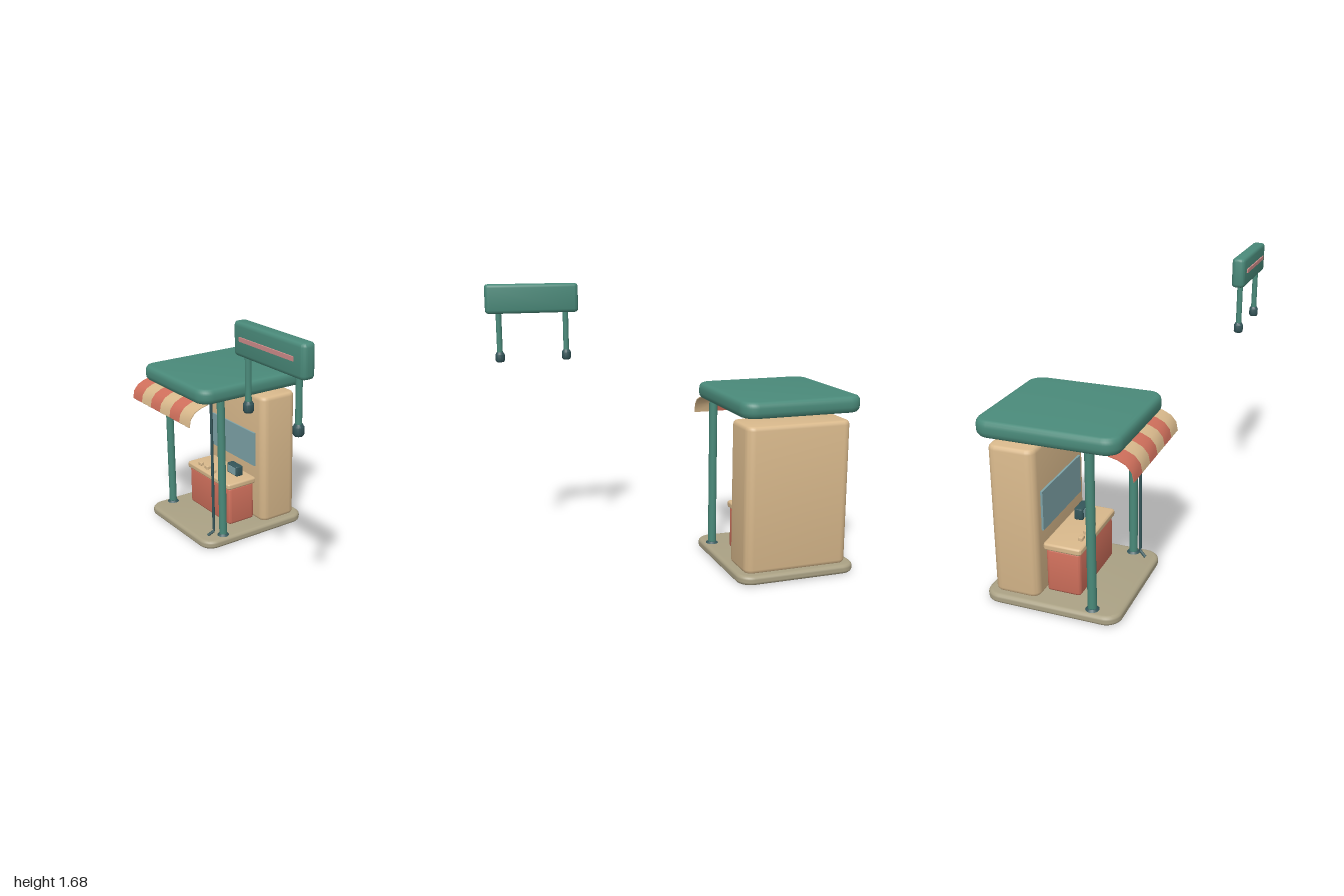
import * as THREE from 'three';
import { toCreasedNormals } from 'three/addons/utils/BufferGeometryUtils.js';

const mat = (name, color, side = THREE.FrontSide) => {
  const m = new THREE.MeshStandardMaterial({ color, side });
  m.name = name;
  return m;
};

export function createModel() {
  const green = mat('green paint', 0x4a8a7a);
  const dark = mat('dark metal', 0x34565a);
  const cream = mat('cream', 0xd9b98c, THREE.DoubleSide);
  const red = mat('coral red', 0xd0705c, THREE.DoubleSide);
  const stone = mat('stone', 0xaaa184);
  const glass = mat('glass', 0x7ea3a8);
  const pink = mat('pink strip', 0xd08c8a);

  const model = new THREE.Group();
  model.name = 'kioskWithSign';
  const add = (parent, name, geo, material, x = 0, y = 0, z = 0) => {
    const mesh = new THREE.Mesh(geo, material);
    mesh.name = name;
    mesh.position.set(x, y, z);
    parent.add(mesh);
    return mesh;
  };

  // Box with rounded corners in plan and bevelled top and bottom rims
  const slab = (w, h, d, r, bevel, rim = bevel) => {
    const a = w / 2 - bevel, b = d / 2 - bevel, c = Math.max(r - bevel, 0.003);
    const s = new THREE.Shape();
    s.moveTo(-a + c, -b);
    s.lineTo(a - c, -b);
    s.absarc(a - c, -b + c, c, -Math.PI / 2, 0);
    s.absarc(a - c, b - c, c, 0, Math.PI / 2);
    s.absarc(-a + c, b - c, c, Math.PI / 2, Math.PI);
    s.absarc(-a + c, -b + c, c, Math.PI, Math.PI * 1.5);
    const g = new THREE.ExtrudeGeometry(s, {
      depth: h - 2 * rim, bevelEnabled: true, bevelSize: bevel,
      bevelThickness: rim, bevelSegments: 3, curveSegments: 5,
    });
    g.translate(0, 0, rim - h / 2).rotateX(-Math.PI / 2);
    return toCreasedNormals(g, 0.65);
  };

  // Kiosk, laid out around its own centre line
  const kiosk = new THREE.Group();
  kiosk.name = 'kiosk';
  kiosk.position.x = -0.628;
  model.add(kiosk);

  add(kiosk, 'floor', slab(0.745, 0.055, 0.785, 0.09, 0.022, 0.02), stone, 0, 0.0275, -0.1275);
  add(kiosk, 'roof', slab(0.745, 0.095, 0.805, 0.09, 0.026, 0.034), green, 0, 1.0225, -0.1275);
  add(kiosk, 'backWall', slab(0.65, 0.87, 0.268, 0.05, 0.02, 0.025), cream, 0, 0.485, -0.34);
  add(kiosk, 'window', new THREE.BoxGeometry(0.495, 0.23, 0.012), glass, -0.004, 0.55, -0.2);

  // Counter with its worktop, buttons and terminal
  add(kiosk, 'counter', slab(0.48, 0.26, 0.2, 0.022, 0.015), red, 0, 0.19, -0.095);
  add(kiosk, 'counterTop', slab(0.505, 0.04, 0.222, 0.02, 0.012), cream, 0, 0.335, -0.095);
  for (const x of [-0.142, -0.064, 0.014]) {
    add(kiosk, 'counterButton', slab(0.042, 0.024, 0.028, 0.008, 0.006), cream, x, 0.365, -0.026);
  }
  add(kiosk, 'terminal', slab(0.115, 0.068, 0.052, 0.01, 0.006), dark, 0.112, 0.387, -0.131);
  add(kiosk, 'terminalScreen', new THREE.BoxGeometry(0.08, 0.05, 0.006), glass, 0.115, 0.387, -0.104);

  // Posts with foot plates, and ceiling lamps
  for (const side of [-1, 1]) {
    add(kiosk, 'post', new THREE.CylinderGeometry(0.025, 0.025, 0.93, 16), green, side * 0.314, 0.515, 0.105);
    add(kiosk, 'postFoot', new THREE.CylinderGeometry(0.027, 0.04, 0.012, 16), dark, side * 0.314, 0.06, 0.105);
    add(kiosk, 'ceilingLamp', new THREE.CylinderGeometry(0.04, 0.04, 0.02, 20), cream, side * 0.175, 0.973, 0.05);
  }

  // Thin cable pipe beside the left post, kicked forward at the floor
  const pipe = new THREE.CurvePath();
  const pts = [[0.287, 0.98, 0.158], [0.287, 0.085, 0.158], [0.272, 0.058, 0.195]]
    .map((p) => new THREE.Vector3(...p));
  pipe.add(new THREE.LineCurve3(pts[0], pts[1]));
  pipe.add(new THREE.LineCurve3(pts[1], pts[2]));
  add(kiosk, 'cablePipe', new THREE.TubeGeometry(pipe, 40, 0.009, 8), dark);

  // Striped awning: a curved section swept across each stripe
  const section = [[0.22, 0.978], [0.27, 0.966], [0.315, 0.944], [0.345, 0.908], [0.355, 0.858]];
  const stripeWidth = 0.695 / 6;
  for (let i = 0; i < 6; i++) {
    const s = new THREE.Shape();
    section.forEach(([z, y], k) => (k ? s.lineTo(-z, y) : s.moveTo(-z, y)));
    [...section].reverse().forEach(([z, y]) => s.lineTo(-z + 0.004, y - 0.004));
    const g = new THREE.ExtrudeGeometry(s, { depth: stripeWidth, bevelEnabled: false });
    g.rotateY(Math.PI / 2);
    add(kiosk, 'awningStripe', toCreasedNormals(g, 0.7), i % 2 ? cream : red, -0.3475 + i * stripeWidth);
  }

  // Separate raised sign on two legs
  const sign = new THREE.Group();
  sign.name = 'sign';
  sign.position.set(0.72, 0, 0.483);
  model.add(sign);
  add(sign, 'signBoard', slab(0.56, 0.173, 0.078, 0.028, 0.016, 0.02), green, 0, 1.5925, 0);
  add(sign, 'signStrip', new THREE.BoxGeometry(0.425, 0.022, 0.009), pink, -0.003, 1.598, 0.042);
  const foot = [[0, 0], [0.022, 0], [0.028, 0.01], [0.028, 0.045], [0.019, 0.06], [0, 0.06]]
    .map((p) => new THREE.Vector2(...p));
  for (const side of [-1, 1]) {
    const x = side * 0.203;
    add(sign, 'signLeg', new THREE.CylinderGeometry(0.017, 0.017, 0.27, 14), green, x, 1.385, 0);
    add(sign, 'signFoot', toCreasedNormals(new THREE.LatheGeometry(foot, 14), 0.6), dark, x, 1.215, 0);
  }
  return model;
}
